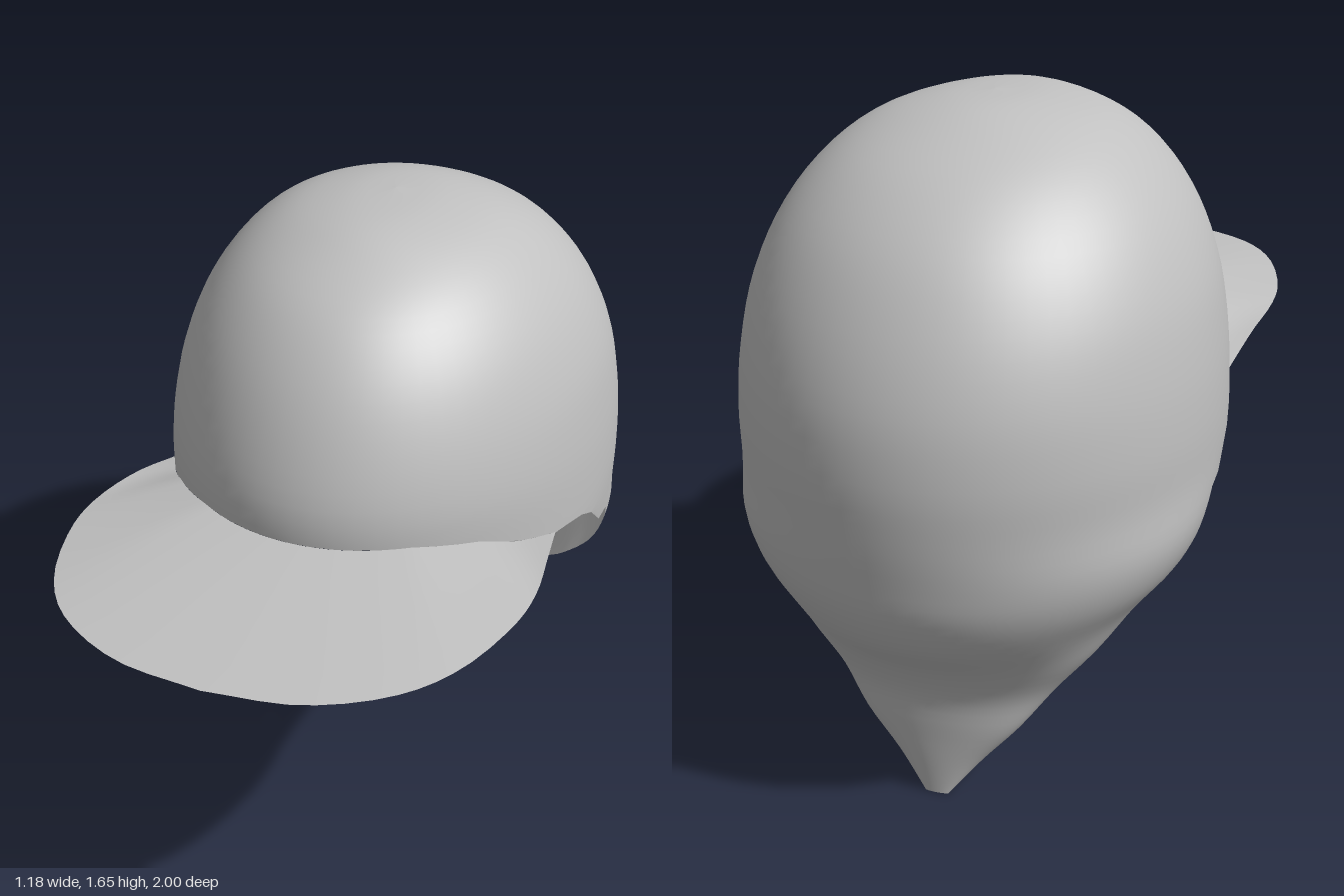
import * as THREE from 'three';

const grey = new THREE.MeshStandardMaterial({ color: 0xc0c0c0, side: THREE.DoubleSide });
grey.name = 'grey';

// Shell sections from crown to nape tip: y, half width, z of widest point, front z, back z
const sections = [
  [1.66, 0, -0.25, -0.25, -0.25],
  [1.65, 0.13, -0.25, -0.04, -0.40],
  [1.61, 0.27, -0.26, 0.09, -0.53],
  [1.53, 0.385, -0.28, 0.235, -0.69],
  [1.41, 0.48, -0.30, 0.345, -0.825],
  [1.26, 0.545, -0.32, 0.425, -0.92],
  [1.10, 0.576, -0.33, 0.472, -0.98],
  [0.95, 0.588, -0.33, 0.46, -1.0],
  [0.82, 0.587, -0.33, 0.44, -0.995],
  [0.70, 0.575, -0.40, 0.40, -0.98],
  [0.60, 0.535, -0.42, 0.30, -0.96],
  [0.50, 0.45, -0.47, 0.20, -0.91],
  [0.40, 0.37, -0.57, 0.0, -0.82],
  [0.30, 0.28, -0.62, -0.2, -0.765],
  [0.20, 0.20, -0.67, -0.4, -0.75],
  [0.10, 0.11, -0.69, -0.6, -0.74],
  [0.005, 0.03, -0.725, -0.725, -0.73],
];
const widthCurve = new THREE.CatmullRomCurve3(
  sections.map(([y, w, zc]) => new THREE.Vector3(w, y, zc)), false, 'catmullrom', 0.5);
const depthCurve = new THREE.CatmullRomCurve3(
  sections.map(([y, , , zf, zb]) => new THREE.Vector3(zf, y, zb)), false, 'catmullrom', 0.5);

// Height of the lower hem by z, front to ear
const hem = [[0.47, 1.04], [0.38, 1.035], [0.25, 1.0], [0.15, 0.95], [0, 0.9], [-0.1, 0.89],
  [-0.18, 0.86], [-0.25, 0.79], [-0.3, 0.76], [-0.4, 0.72]];

function hemHeight(z) {
  if (z >= hem[0][0]) return hem[0][1];
  for (let i = 1; i < hem.length; i++) {
    const [z0, y0] = hem[i - 1], [z1, y1] = hem[i];
    if (z >= z1) return y0 + (y1 - y0) * (z0 - z) / (z0 - z1);
  }
  return 0.72;
}

// Point on the shell at angle t (0 = front) and s (0 = crown, 1 = nape tip)
function shellPoint(t, s) {
  const a = widthCurve.getPoint(s), b = depthCurve.getPoint(s);
  const c = Math.cos(t);
  const z = a.z + c * (c > 0 ? b.x - a.z : a.z - b.z);
  return new THREE.Vector3(a.x * Math.sin(t), a.y, z);
}

// Value of s where a column meets the hem
function hemStop(t) {
  if (Math.cos(t) < 0.001) return 1;
  let lo = 0.2, hi = 0.75;
  for (let i = 0; i < 24; i++) {
    const mid = (lo + hi) / 2, p = shellPoint(t, mid);
    if (p.y > hemHeight(p.z)) lo = mid; else hi = mid;
  }
  return lo;
}

function surface(points, index) {
  const g = new THREE.BufferGeometry().setFromPoints(points);
  g.setIndex(index);
  g.computeVertexNormals();
  return g;
}

// Sheet from rows of points; every row has the same length
function sheet(rows) {
  const n = rows[0].length, index = [];
  for (let r = 0; r < rows.length - 1; r++) {
    for (let j = 0; j < n - 1; j++) {
      const a = r * n + j, c = a + n;
      index.push(a, c, a + 1, a + 1, c, c + 1);
    }
  }
  return surface(rows.flat(), index);
}

function shellGeometry() {
  const cols = 72, rows = 64, points = [], index = [], stops = [];
  for (let j = 0; j < cols; j++) stops.push(hemStop(j / cols * Math.PI * 2));
  for (let r = 0; r <= rows; r++) {
    for (let j = 0; j < cols; j++) {
      points.push(shellPoint(j / cols * Math.PI * 2, Math.min(r / rows, stops[j])));
    }
  }
  for (let r = 0; r < rows; r++) {
    for (let j = 0; j < cols; j++) {
      const k = (j + 1) % cols, s = r / rows;
      const low = Math.min(stops[j], stops[k]), high = Math.max(stops[j], stops[k]);
      // leave the ear openings free, skip collapsed cells
      if (s >= high || (s >= low && high - low > 0.1)) continue;
      const a = r * cols + j, b = r * cols + k, c = a + cols, d = b + cols;
      index.push(a, c, b, b, c, d);
    }
  }
  return surface(points, index);
}

// Peak spans from the front hem to a rounded outer rim
function brimGeometry() {
  const rim = new THREE.CatmullRomCurve3([
    [0, 1.0, 1.0], [0.22, 1.0, 0.97], [0.4, 1.0, 0.87], [0.5, 0.997, 0.74], [0.57, 0.988, 0.52],
    [0.58, 0.978, 0.38], [0.56, 0.955, 0.2], [0.53, 0.9, 0.0],
  ].map((p) => new THREE.Vector3(...p)));
  const rows = [];
  for (let r = 0; r <= 6; r++) {
    const row = [];
    for (let j = -24; j <= 24; j++) {
      const u = j / 24, t = u * 1.14;
      const outer = rim.getPoint(Math.abs(u));
      if (u < 0) outer.x *= -1;
      row.push(shellPoint(t, hemStop(t)).lerp(outer, r / 6));
    }
    rows.push(row);
  }
  return sheet(rows);
}

// Small forked chin tuft: x, top y, bottom y
function chinGeometry() {
  const half = [[0, 0.325, 0.185], [0.03, 0.335, 0.19], [0.036, 0.345, 0.235], [0.05, 0.36, 0.27],
    [0.075, 0.375, 0.335], [0.105, 0.412, 0.408]];
  const outline = [...half.slice(1).reverse().map(([x, a, b]) => [-x, a, b]), ...half];
  const rows = [];
  for (let r = 0; r <= 5; r++) {
    rows.push(outline.map(([x, top, bottom]) => {
      const y = top + (bottom - top) * r / 5;
      const z = -0.203 - 4.2 * x * x - Math.max(0, 0.28 - y) * 0.13;
      return new THREE.Vector3(x, y, z);
    }));
  }
  return sheet(rows);
}

export function createModel() {
  const group = new THREE.Group();
  group.name = 'cap';
  const parts = { shell: shellGeometry(), brim: brimGeometry(), chinTuft: chinGeometry() };
  for (const [name, geometry] of Object.entries(parts)) {
    const mesh = new THREE.Mesh(geometry, grey);
    mesh.name = name;
    group.add(mesh);
  }
  return group;
}
